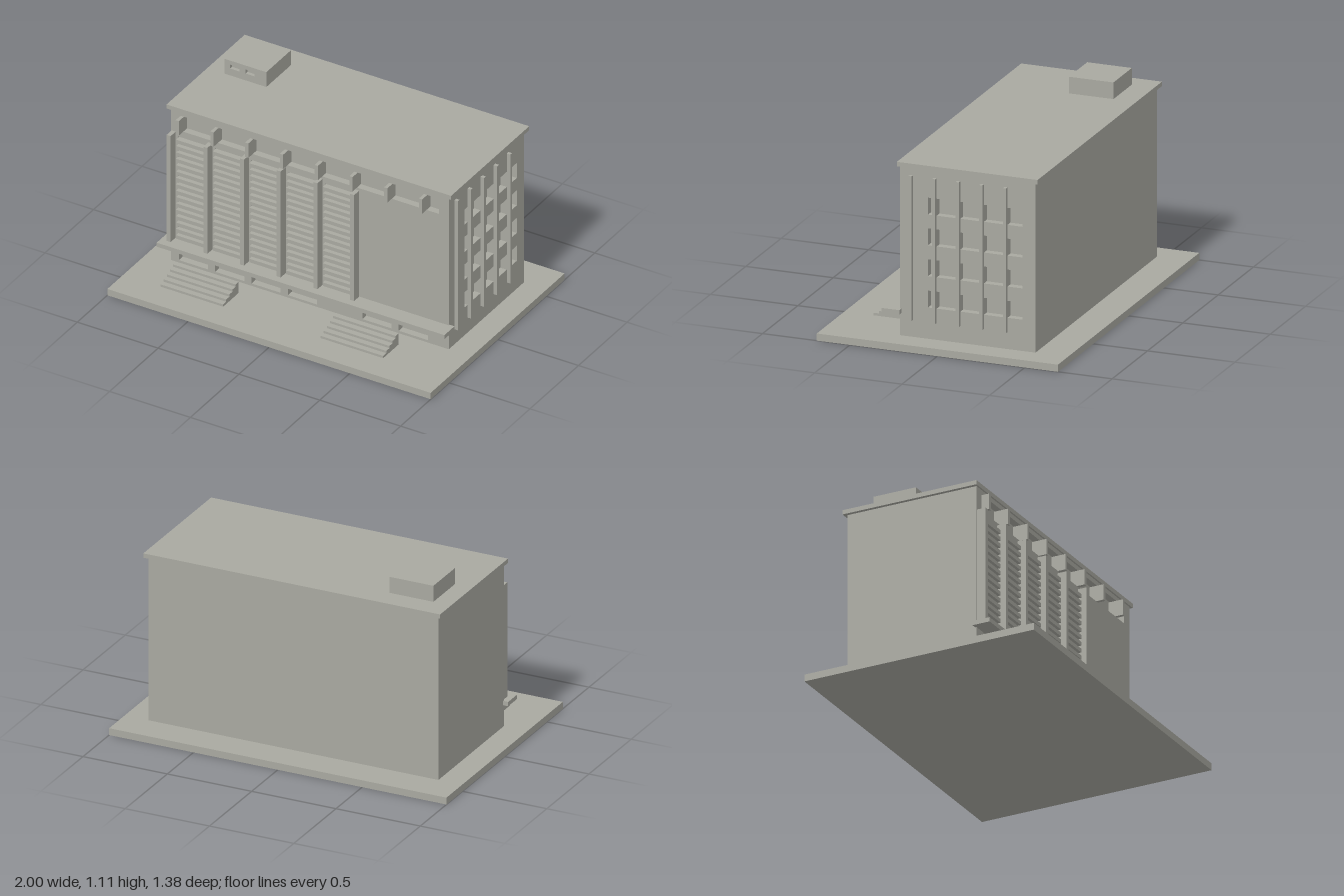
import * as THREE from 'three';

const concrete = new THREE.MeshStandardMaterial({ color: 0xa8a8a0 });
concrete.name = 'grey concrete';

export function createModel() {
  const model = new THREE.Group();
  model.name = 'officeBuilding';

  // Box given by its low and high corner on each axis
  function box(name, x0, x1, y0, y1, z0, z1) {
    const mesh = new THREE.Mesh(new THREE.BoxGeometry(x1 - x0, y1 - y0, z1 - z0), concrete);
    mesh.position.set((x0 + x1) / 2, (y0 + y1) / 2, (z0 + z1) / 2);
    mesh.name = name;
    model.add(mesh);
  }

  function rect(path, x0, x1, y0, y1) {
    path.moveTo(x0, y0);
    path.lineTo(x1, y0);
    path.lineTo(x1, y1);
    path.lineTo(x0, y1);
    path.closePath();
    return path;
  }

  // Wall panel with rectangular openings, facing +z
  function wall(name, outline, holes, depth) {
    const shape = rect(new THREE.Shape(), ...outline);
    holes.forEach(h => shape.holes.push(rect(new THREE.Path(), ...h)));
    const mesh = new THREE.Mesh(
      new THREE.ExtrudeGeometry(shape, { depth, bevelEnabled: false }), concrete);
    mesh.name = name;
    model.add(mesh);
    return mesh;
  }

  // Plinth, core and roof
  box('basePlate', -1, 1, 0, 0.04, -0.69, 0.69);
  box('buildingCore', -0.86, 0.82, 0.04, 0.99, -0.505, 0.23);
  box('roofSlab', -0.88, 0.88, 0.99, 1.015, -0.525, 0.28);

  // Front wall openings: louvre bays, top window band, ground floor windows
  const pillarX = [0, 1, 2, 3, 4, 5].map(i => -0.842 + i * 0.227);
  const bays = pillarX.slice(0, 5).map(x => [x + 0.028, x + 0.213]);
  const frontHoles = bays.map(([a, b]) => [a, b, 0.195, 0.83]);
  frontHoles.push([-0.8, 0.8, 0.87, 0.965]);
  [-0.81, -0.585, -0.36, -0.135, 0.325, 0.55].forEach(x =>
    frontHoles.push([x, x + 0.18, 0.055, 0.135]));
  wall('frontWall', [-0.86, 0.86, 0.04, 0.99], frontHoles, 0.04).position.z = 0.23;

  // Right-hand wall with four window strips
  const sideHoles = [0.215, 0.39, 0.563, 0.735].map(y => [-0.11, 0.43, y, y + 0.095]);
  const side = wall('sideWall', [-0.23, 0.505, 0.04, 0.99], sideHoles, 0.04);
  side.rotation.y = Math.PI / 2;
  side.position.x = 0.82;

  // Vertical fins on the side wall
  for (let i = 0; i < 5; i++) {
    const z = 0.204 - i * 0.135;
    box('sideFin', 0.82, 0.882, 0.135, 0.945, z - 0.009, z + 0.009);
  }

  // Pillars and louvres on the front
  pillarX.forEach(x => box('frontPillar', x - 0.0125, x + 0.0125, 0.19, 0.855, 0.26, 0.322));
  bays.forEach(([a, b]) => {
    for (let i = 0; i < 16; i++) {
      const y = 0.2 + i * 0.04;
      box('louvreSlat', a, b, y, y + 0.022, 0.23, 0.292);
    }
  });

  // Short fins across the top window band
  for (let i = 0; i < 8; i++) {
    const x = -0.793 + i * 0.215;
    box('topFin', x - 0.01, x + 0.01, 0.87, 0.96, 0.23, 0.315);
  }

  // Canopy ledge over the ground floor
  box('canopyLedge', -0.89, 0.89, 0.165, 0.19, 0.262, 0.365);

  // Two flights of five steps
  [-0.77, 0.22].forEach(x => {
    for (let i = 0; i < 5; i++) {
      box('step', x, x + 0.387, 0.04 + i * 0.014, 0.054 + i * 0.014, 0.365, 0.525 - i * 0.032);
    }
  });

  // Rooftop machine room with two small windows
  box('machineRoom', -0.775, -0.515, 1.015, 1.108, -0.395, -0.16);
  wall('machineRoomFront', [-0.775, -0.515, 1.015, 1.108],
    [[-0.74, -0.68, 1.058, 1.083], [-0.643, -0.587, 1.058, 1.083]], 0.02).position.z = -0.16;

  return model;
}
